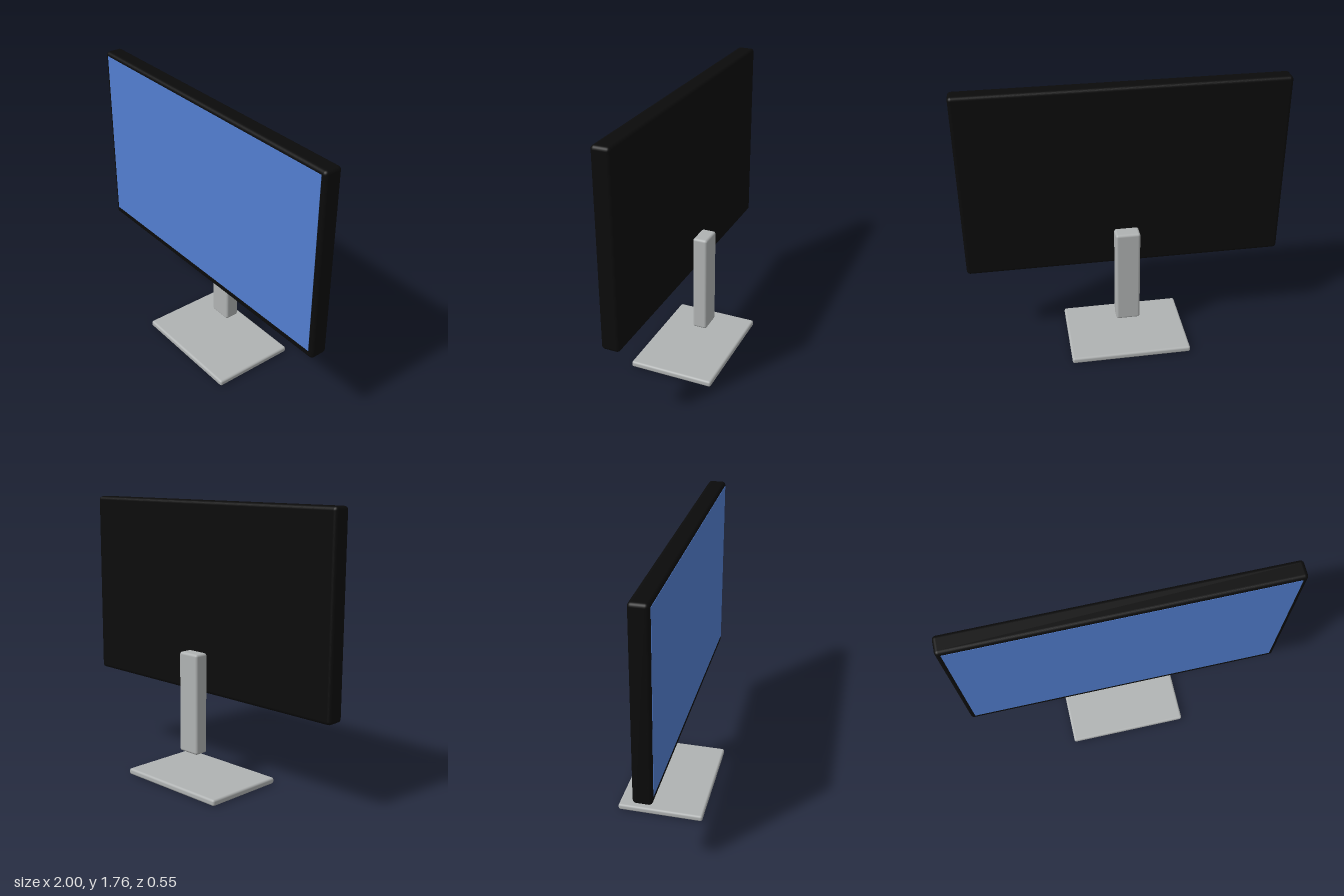
import * as THREE from 'three';
import { RoundedBoxGeometry } from 'three/addons/geometries/RoundedBoxGeometry.js';

const material = (name, color) => {
  const m = new THREE.MeshStandardMaterial({ color });
  m.name = name;
  return m;
};

// Soft-edged block spanning [min, max] on each axis
function block(name, mat, x, y, z, radius) {
  const size = [x, y, z].map(([a, b]) => b - a);
  const mesh = new THREE.Mesh(new RoundedBoxGeometry(...size, 3, radius), mat);
  mesh.position.set(...[x, y, z].map(([a, b]) => (a + b) / 2));
  mesh.name = name;
  return mesh;
}

export function createModel() {
  const black = material('black casing', 0x0b0b0b);
  const grey = material('grey metal', 0xb0b3b3);
  const blue = material('blue screen', 0x527ed0);

  const monitor = new THREE.Group();
  monitor.name = 'monitor';

  // Display housing
  monitor.add(block('housing', black, [-1, 1], [0.57, 1.76], [0.006, 0.119], 0.022));

  // Lit screen: thin plate on the front, with a wider bezel below
  const screen = new THREE.Mesh(new THREE.BoxGeometry(1.94, 1.118, 0.006), blue);
  screen.position.set(0, 1.177, 0.118);
  screen.name = 'screen';
  monitor.add(screen);

  // Stand: upright column behind the housing, and a flat foot below it
  monitor.add(block('standColumn', grey, [-0.077, 0.077], [0.2, 0.84], [-0.112, -0.018], 0.016));
  monitor.add(block('standBase', grey, [-0.385, 0.385], [0, 0.04], [-0.273, 0.273], 0.014));

  return monitor;
}
